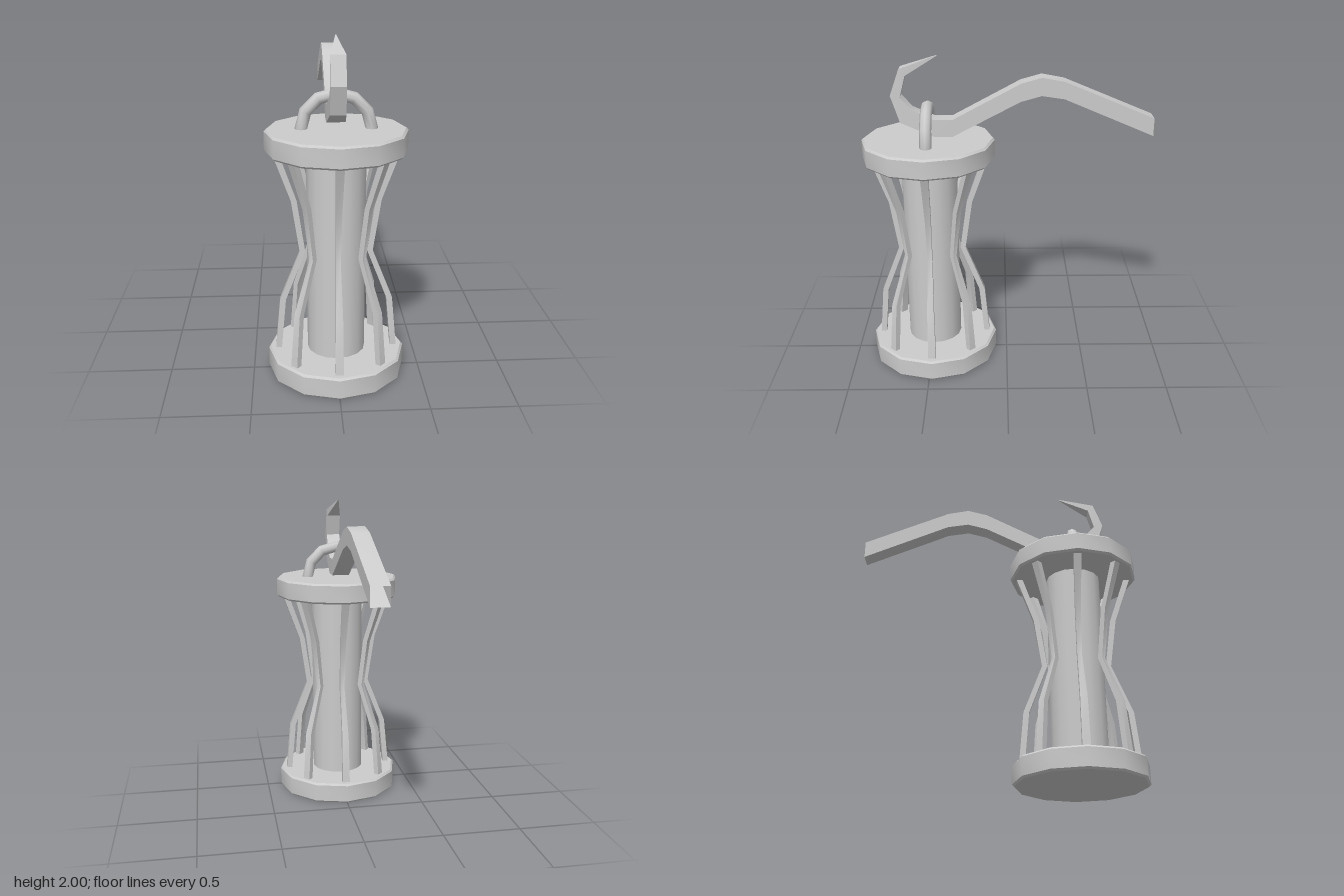
import * as THREE from 'three';
import { toCreasedNormals } from 'three/addons/utils/BufferGeometryUtils.js';

const AXIS_Z = 0.48; // the lantern body hangs in front of the handle
const CREASE = 0.6;
const material = new THREE.MeshStandardMaterial({ color: 0xcccccc });
const thinMaterial = new THREE.MeshStandardMaterial({ color: 0xcccccc, side: THREE.DoubleSide });

function addMesh(parent, name, geometry, mat = material) {
  const mesh = new THREE.Mesh(geometry, mat);
  mesh.name = name;
  parent.add(mesh);
  return mesh;
}

// Open four-sided bar in the z-y plane.
// Each station is [zA, yA, zB, yB, halfWidth]: two edge points and half the x width.
function barGeometry(stations) {
  const rings = stations.map(([za, ya, zb, yb, w]) => [
    [-w, ya, za], [w, ya, za], [w, yb, zb], [-w, yb, zb],
  ]);
  const positions = [];
  for (let i = 0; i < rings.length - 1; i++) {
    for (let j = 0; j < 4; j++) {
      const k = (j + 1) % 4;
      const a = rings[i][j], b = rings[i][k], c = rings[i + 1][k], d = rings[i + 1][j];
      positions.push(...a, ...b, ...c, ...a, ...c, ...d);
    }
  }
  const geometry = new THREE.BufferGeometry();
  geometry.setAttribute('position', new THREE.Float32BufferAttribute(positions, 3));
  return toCreasedNormals(geometry, CREASE);
}

// Twelve-sided plate with bevelled rims
function plateGeometry(y0, y1) {
  const r = 0.408, b = 0.012;
  const profile = [
    [0, y0], [r - b, y0], [r, y0 + b], [r, y1 - b], [r - b, y1], [0, y1],
  ].map(([x, y]) => new THREE.Vector2(x, y));
  return toCreasedNormals(new THREE.LatheGeometry(profile, 12), CREASE);
}

export function createModel() {
  const model = new THREE.Group();
  model.name = 'hangingLantern';

  const body = new THREE.Group();
  body.name = 'lanternBody';
  body.position.z = AXIS_Z;
  model.add(body);

  // Base, lid and the core between them
  addMesh(body, 'basePlate', plateGeometry(0, 0.135));
  addMesh(body, 'topPlate', plateGeometry(1.36, 1.49));
  const core = addMesh(body, 'core', new THREE.CylinderGeometry(0.172, 0.172, 1.25, 16, 1, true));
  core.position.y = 0.75;

  // Eight pinched cage bars: outer radius, inner radius, height, half width
  const cageBar = barGeometry([
    [0.365, 0.13, 0.33, 0.13, 0.024],
    [0.335, 0.45, 0.3, 0.45, 0.021],
    [0.215, 0.755, 0.182, 0.755, 0.014],
    [0.262, 1.07, 0.228, 1.07, 0.018],
    [0.37, 1.37, 0.332, 1.37, 0.024],
  ]);
  for (let i = 0; i < 8; i++) {
    const bar = addMesh(body, `cageBar${i + 1}`, cageBar, thinMaterial);
    bar.rotation.y = (i * Math.PI) / 4;
  }

  // Half ring on the lid
  const ring = addMesh(body, 'hangingRing', new THREE.TorusGeometry(0.2, 0.036, 8, 6, Math.PI));
  ring.position.y = 1.488;

  // Hook and handle in one square bar, pointed at the tip, open at the far end
  addMesh(model, 'hookHandle', barGeometry([
    [0.41, 2.0, 0.412, 1.994, 0.003],
    [0.635, 1.925, 0.6, 1.885, 0.043],
    [0.693, 1.765, 0.635, 1.755, 0.043],
    [0.64, 1.6, 0.57, 1.68, 0.045],
    [0.44, 1.515, 0.44, 1.62, 0.055],
    [0.325, 1.515, 0.325, 1.62, 0.055],
    [-0.085, 1.73, -0.085, 1.84, 0.055],
    [-0.21, 1.765, -0.21, 1.875, 0.055],
    [-0.345, 1.745, -0.345, 1.85, 0.055],
    [-0.888, 1.515, -0.888, 1.625, 0.055],
  ]), thinMaterial);

  return model;
}
